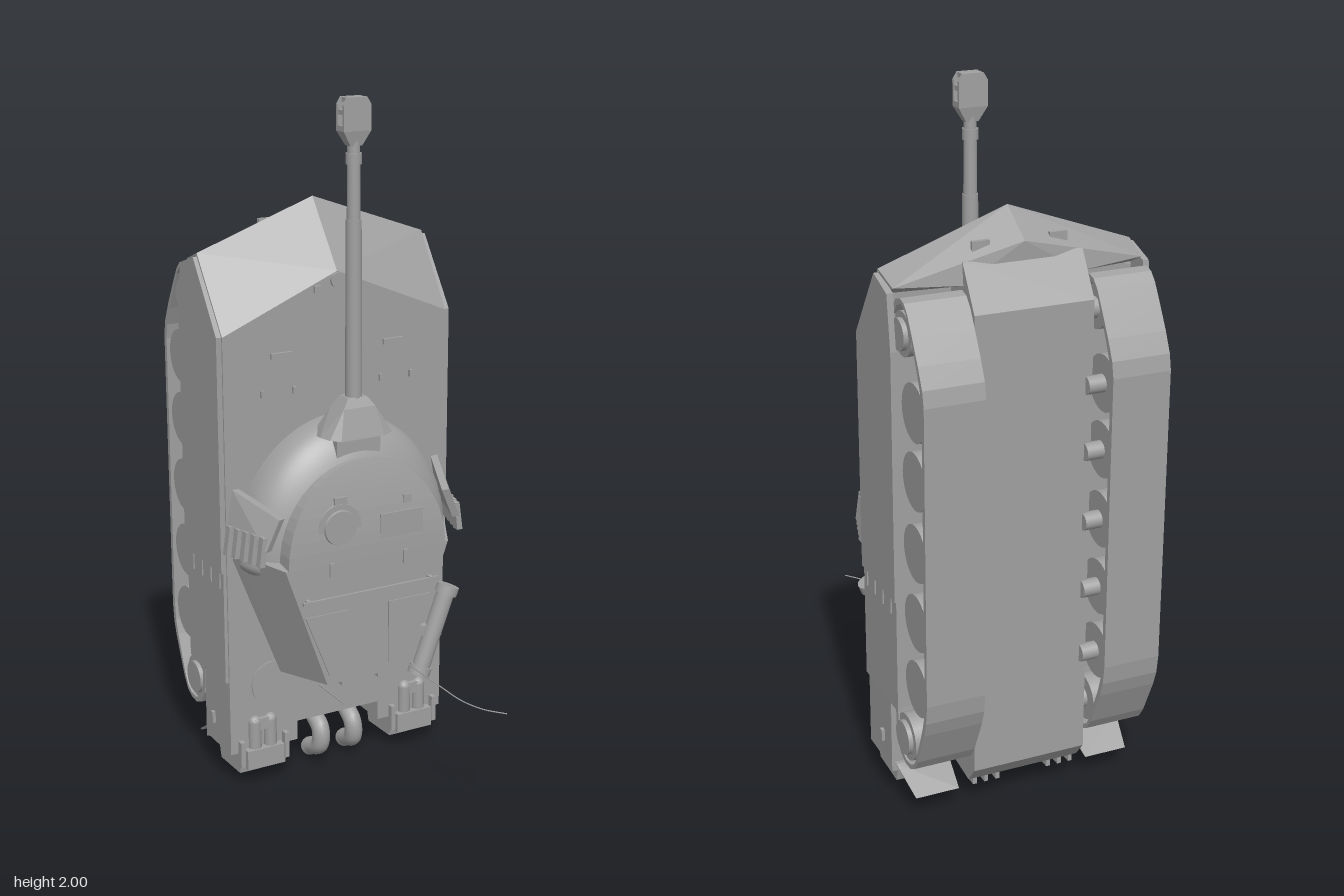
import * as THREE from 'three';
import { ConvexGeometry } from 'three/addons/geometries/ConvexGeometry.js';

export function createModel() {
  const root = new THREE.Group();
  root.name = 'uprightTank';
  const grey = new THREE.MeshStandardMaterial({ color: 0xa0a0a0 });
  grey.name = 'grey';

  const add = (name, geo, x = 0, y = 0, z = 0) => {
    const m = new THREE.Mesh(geo, grey);
    m.name = name;
    m.position.set(x, y, z);
    root.add(m);
    return m;
  };
  const box = (name, w, h, d, x, y, z) => add(name, new THREE.BoxGeometry(w, h, d), x, y, z);
  const convex = (name, pts) => add(name, new ConvexGeometry(pts.map(p => new THREE.Vector3(...p))));
  // Points with x > 0 are repeated on the other side
  const mirrored = (name, pts) =>
    convex(name, pts.flatMap(([x, y, z]) => (x ? [[x, y, z], [-x, y, z]] : [[x, y, z]])));
  // Cylinder between two points
  const rod = (name, a, b, r0, r1 = r0, sides = 24) => {
    const p = new THREE.Vector3(...a), q = new THREE.Vector3(...b);
    const m = add(name, new THREE.CylinderGeometry(r1, r0, p.distanceTo(q), sides));
    m.position.copy(p).lerp(q, 0.5);
    m.quaternion.setFromUnitVectors(new THREE.Vector3(0, 1, 0), q.sub(p).normalize());
    return m;
  };

  // Hull with a pointed nose, standing on its sloping rear
  mirrored('upperHull', [
    [0.358, 0.16, -0.08], [0.358, 1.36, -0.08], [0, 1.51, -0.08],
    [0.362, 1.57, -0.225], [0, 1.70, -0.225],
    [0.358, 0.09, -0.25], [0.358, 1.5, -0.25], [0, 1.63, -0.25]]);
  mirrored('lowerNose', [
    [0.362, 1.57, -0.225], [0, 1.70, -0.225], [0.355, 1.54, -0.31],
    [0, 1.63, -0.335], [0.355, 1.51, -0.25], [0.17, 1.53, -0.33]]);
  mirrored('belly', [
    [0.17, 0.1, -0.2], [0.17, 0.08, -0.36], [0.17, 0.13, -0.4],
    [0.17, 1.47, -0.4], [0.17, 1.59, -0.325], [0.17, 1.58, -0.22]]);

  // Closed track ribbon: points are depth behind the front, then height
  const outline = [[0.497, 0.43], [0.497, 1.28], [0.488, 1.325], [0.462, 1.38], [0.425, 1.445], [0.395, 1.495],
    [0.372, 1.518], [0.345, 1.525], [0.315, 1.515], [0.29, 1.485], [0.275, 1.4], [0.268, 0.3], [0.275, 0.22],
    [0.3, 0.18], [0.335, 0.165], [0.372, 0.168], [0.402, 0.185], [0.425, 0.22], [0.475, 0.33], [0.49, 0.375]];
  const trackShape = new THREE.Shape(outline.map(p => new THREE.Vector2(...p)));
  trackShape.holes.push(new THREE.Path(outline.map(([a, b]) =>
    new THREE.Vector2(0.382 + (a - 0.382) * 0.87, 0.845 + (b - 0.845) * 0.979))));
  const trackGeo = new THREE.ExtrudeGeometry(trackShape, { depth: 0.17, bevelEnabled: false });
  trackGeo.rotateY(Math.PI / 2);

  for (const s of [1, -1]) {
    add('track', trackGeo, s > 0 ? 0.18 : -0.35, 0, 0);
    // Road wheels, sprocket and idler
    for (const y of [1.235, 1.045, 0.84, 0.635, 0.435]) {
      rod('roadWheel', [s * 0.275, y, -0.402], [s * 0.34, y, -0.402], 0.08);
      rod('innerWheel', [s * 0.2, y, -0.402], [s * 0.245, y, -0.402], 0.08);
      rod('axle', [s * 0.15, y, -0.4], [s * 0.3, y, -0.4], 0.025);
    }
    for (const [name, y, z, r] of [['sprocket', 0.25, -0.335, 0.068], ['idler', 1.43, -0.345, 0.06]]) {
      rod(name, [s * 0.2, y, z], [s * 0.345, y, z], r);
      rod(name + 'Cap', [s * 0.34, y, z], [s * 0.358, y, z], r * 0.72);
      rod(name + 'Axle', [s * 0.14, y, z], [s * 0.2, y, z], 0.03);
    }
    // Side skirts
    convex('skirt', [0.356, 0.374].flatMap(x => [[s * x, 0.67, -0.085], [s * x, 0.67, -0.335],
      [s * x, 1.36, -0.085], [s * x, 1.56, -0.225], [s * x, 1.53, -0.315], [s * x, 1.38, -0.335]]));
    box('rearSkirt', 0.012, 0.34, 0.245, s * 0.362, 0.5, -0.2075);
    for (let i = 0; i < 4; i++) box('skirtClip', 0.008, 0.05, 0.014, s * 0.368, 0.645, -0.11 - i * 0.06);
    box('sideHook', 0.016, 0.035, 0.015, s * 0.36, 0.18, -0.19);
    box('rearCorner', 0.22, 0.09, 0.16, s * 0.248, 0.145, -0.16);

    // Deck fittings
    box('deckSlit', 0.065, 0.016, 0.016, s * 0.18, 1.29, -0.078);
    for (const x of [0.14, 0.24]) box('deckStud', 0.01, 0.02, 0.016, s * x, 1.185, -0.078);
    for (const z of [-0.255, -0.3]) box('towHook', 0.05, 0.03, 0.012, s * 0.11, 1.62, z);
    box('hatchHook', 0.02, 0.02, 0.016, s * 0.065, 1.465, -0.078);
    rod('engineCap', [s * 0.22, 0.305, -0.085], [s * 0.22, 0.305, -0.076], 0.068);

    // Rear mounts, lamps and exhausts
    convex('rearBox', [0.18, 0.33].flatMap(x => [[s * x, 0.035, -0.08], [s * x, 0.09, -0.07],
      [s * x, 0.12, -0.1], [s * x, 0.03, -0.21], [s * x, 0.11, -0.23]]));
    for (const x of [0.23, 0.28]) {
      add('rearBracket', new THREE.CapsuleGeometry(0.02, 0.11, 6, 12), s * x, 0.135, -0.08);
    }
    box('bracketBridge', 0.06, 0.035, 0.03, s * 0.255, 0.185, -0.08);
    box('bracketFoot', 0.12, 0.06, 0.04, s * 0.255, 0.08, -0.075);
    for (const x of [0.183, 0.327]) box('bracketLug', 0.014, 0.08, 0.04, s * x, 0.1, -0.08);
    convex('rearFlap', [-0.25, -0.262].flatMap(z => [[s * 0.19, 0.11, z], [s * 0.35, 0.12, z],
      [s * 0.33, 0.06, z - 0.1], [s * 0.2, 0.06, z - 0.1]]));
    const pipe = new THREE.CatmullRomCurve3([[0.055, 0.14, -0.13], [0.055, 0.11, -0.09],
      [0.057, 0.06, -0.09], [0.06, 0.03, -0.15]].map(([x, y, z]) => new THREE.Vector3(s * x, y, z)));
    add('exhaust', new THREE.TubeGeometry(pipe, 16, 0.027, 14));
    add('exhaustEnd', new THREE.SphereGeometry(0.028, 14, 10), s * 0.06, 0.028, -0.15);
    for (let i = 0; i < 3; i++) box('rearTooth', 0.012, 0.04, 0.06, s * (0.08 + i * 0.035), 0.08, -0.33);
  }
  rod('driverPeriscope', [0, 1.485, -0.09], [0, 1.485, -0.072], 0.022);

  // Turret dome: a boxy ellipsoid, squashed toward the bustle and cut off in the hull
  const dome = new THREE.SphereGeometry(1, 64, 48);
  const pos = dome.attributes.position;
  for (let i = 0; i < pos.count; i++) {
    const y = pos.getY(i), z = pos.getZ(i);
    pos.setXYZ(i, pos.getX(i) * 0.335, y * (y > 0 ? 0.39 : 0.1), z > 0 ? 0.18 * z ** 0.68 : Math.max(z, -0.05) * 0.18);
  }
  dome.computeVertexNormals();
  add('turretDome', dome, 0, 0.71, -0.085);

  // Raised roof plate and tapering bustle
  const roof = [];
  for (let i = 0; i <= 24; i++) {
    const a = (i / 24) * Math.PI, x = 0.255 * Math.cos(a), y = 0.72 + 0.28 * Math.sin(a);
    roof.push([x, y, 0.02], [x, y, 0.104 - 0.036 * Math.sin(a) ** 2]);
  }
  convex('turretRoof', roof);
  mirrored('bustle', [[0.345, 0.715, -0.07], [0.34, 0.74, -0.04], [0.265, 0.72, 0.104],
    [0.21, 0.35, -0.045], [0.215, 0.37, -0.055], [0.135, 0.35, 0.104]]);
  box('turretNeck', 0.4, 0.19, 0.06, 0, 0.555, -0.07);

  for (const s of [1, -1]) {
    // Bustle lids
    convex('bustleLid', [0.1, 0.108].flatMap(z => [[s * 0.065, 0.38, z], [s * 0.13, 0.38, z],
      [s * 0.205, 0.57, z], [s * 0.065, 0.57, z]]));
    // Side armour plates with hanging teeth
    const c = [[0.36, 0.8, -0.078], [0.338, 0.92, -0.078], [0.315, 0.78, 0.085], [0.275, 0.87, 0.09]];
    convex('turretSidePlate', c.flatMap(([x, y, z]) => [[s * x, y, z], [s * (x - 0.02), y, z - 0.008]]));
    for (let i = 0; i < 5; i++) {
      const t = (i + 0.3) / 4.6, x = 0.362 - 0.045 * t, z = -0.075 + 0.15 * t;
      convex('plateTooth', [-0.012, 0.012].flatMap(d => [
        [s * (x + 0.012), 0.735, z + d], [s * x, 0.82, z + d],
        [s * (x - 0.006), 0.735, z + d], [s * (x - 0.016), 0.82, z + d]]));
    }
    box('lidHinge', 0.015, 0.04, 0.02, s * 0.12, 0.7, 0.1);
    box('railPost', 0.012, 0.012, 0.03, s * 0.2, 0.62, 0.11);
    box('rearStep', 0.05, 0.02, 0.04, s * 0.06, 0.345, 0.08);
  }
  box('roofRail', 0.44, 0.01, 0.008, 0, 0.62, 0.122);

  // Hatches and sights
  rod('roundHatch', [-0.09, 0.82, 0.06], [-0.09, 0.82, 0.1], 0.072, 0.068);
  rod('roundHatchLid', [-0.09, 0.82, 0.09], [-0.09, 0.82, 0.107], 0.055, 0.05);
  box('hatchSight', 0.04, 0.025, 0.03, -0.085, 0.895, 0.083);
  box('squareHatch', 0.14, 0.085, 0.03, 0.11, 0.795, 0.088);
  box('roofSight', 0.025, 0.025, 0.03, 0.13, 0.87, 0.083);

  // Mantlet, gun and muzzle brake
  mirrored('mantlet', [[0.11, 1.065, 0.02], [0.1, 1.06, -0.045], [0.1, 1.065, 0.06], [0.07, 1.06, 0.072],
    [0.05, 1.145, 0.05], [0.055, 1.14, -0.02], [0.03, 1.172, 0.037], [0.03, 1.172, -0.01]]);
  box('mantletBase', 0.14, 0.12, 0.09, 0, 1.02, 0);
  rod('gunSleeve', [0, 1.15, 0.015], [0, 1.67, 0.015], 0.024, 0.022);
  rod('barrel', [0, 1.67, 0.015], [0, 1.92, 0.015], 0.019, 0.017);
  rod('barrelCollar', [0, 1.82, 0.015], [0, 1.85, 0.015], 0.022);
  mirrored('muzzleBase', [[0.018, 1.87, 0.03], [0.018, 1.87, 0], [0.042, 1.91, 0.037], [0.042, 1.91, -0.007],
    [0.042, 1.925, 0.037], [0.042, 1.925, -0.007]]);
  for (const s of [1, -1]) {
    convex('muzzleCheek', [0.013, 0.022].flatMap(d => [[-0.042, 1.92, 0.015 + s * d], [0.042, 1.92, 0.015 + s * d],
      [-0.042, 1.98, 0.015 + s * d], [0.042, 1.98, 0.015 + s * d],
      [-0.03, 2, 0.015 + s * d], [0.03, 2, 0.015 + s * d]]));
  }
  for (const [y, w] of [[1.96, 0.08], [1.993, 0.06]]) box('muzzleBaffle', w, 0.013, 0.03, 0, y, 0.015);

  // Stowed drum on the left of the bustle
  rod('stowageTube', [0.215, 0.3, 0.04], [0.305, 0.54, 0.04], 0.027);
  rod('tubeLowerCap', [0.208, 0.284, 0.04], [0.218, 0.31, 0.04], 0.034);
  rod('tubeUpperCap', [0.3, 0.525, 0.04], [0.31, 0.55, 0.04], 0.034);
  box('tubeMount', 0.09, 0.03, 0.02, 0.21, 0.42, 0.03);

  // Aerials
  const aerial = new THREE.CatmullRomCurve3([[0.148, 0.345, 0.08], [0.148, 0.345, 0.26], [0.155, 0.342, 0.37],
    [0.18, 0.34, 0.44], [0.222, 0.34, 0.495]].map(p => new THREE.Vector3(...p)));
  add('longAerial', new THREE.TubeGeometry(aerial, 24, 0.002, 6));
  rod('shortAerial', [-0.148, 0.345, 0.08], [-0.148, 0.345, 0.235], 0.003, 0.002, 6);
  return root;
}
